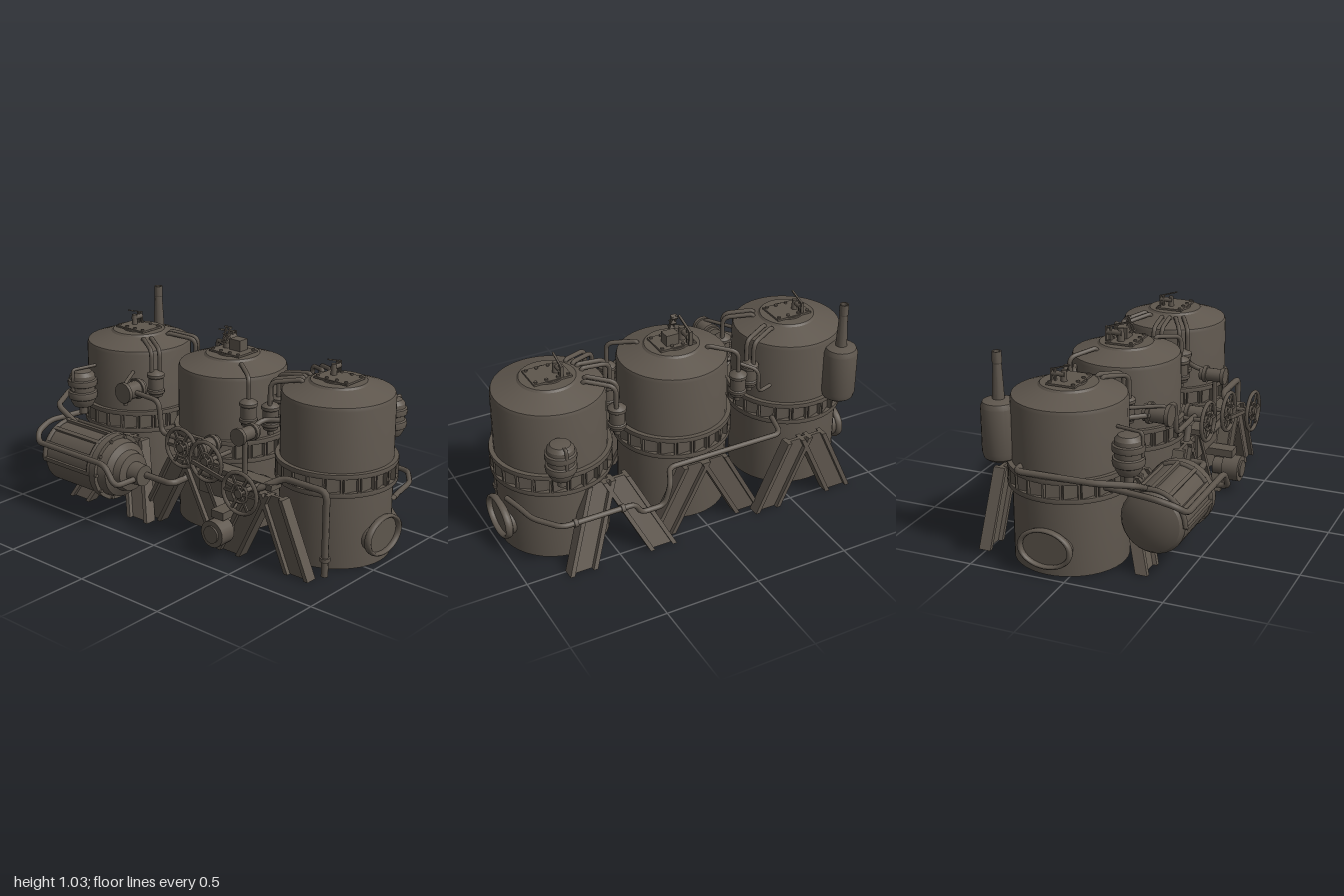
import * as THREE from 'three';
import { toCreasedNormals } from 'three/addons/utils/BufferGeometryUtils.js';

const iron = new THREE.MeshStandardMaterial({ color: 0x5e564d, side: THREE.DoubleSide });
iron.name = 'weathered iron';
const V = (a) => new THREE.Vector3(...a);
const CX = 0.109, R = 0.283;

export function createModel() {
  const root = new THREE.Group();
  root.name = 'boilerPlant';

  const add = (parent, name, geo, pos = [0, 0, 0], rot = [0, 0, 0], scale = [1, 1, 1]) => {
    const m = new THREE.Mesh(geo, iron);
    m.name = name;
    m.position.set(...pos);
    m.rotation.set(...rot);
    m.scale.set(...scale);
    parent.add(m);
    return m;
  };
  const group = (name, parent = root) => {
    const g = new THREE.Group();
    g.name = name;
    parent.add(g);
    return g;
  };
  const box = (p, n, size, pos, rot) => add(p, n, new THREE.BoxGeometry(...size), pos, rot);
  const cyl = (p, n, r0, r1, h, pos, rot, seg = 16) => add(p, n, new THREE.CylinderGeometry(r1, r0, h, seg), pos, rot);
  const lathe = (p, n, pts, pos, rot, seg = 24) => add(p, n,
    toCreasedNormals(new THREE.LatheGeometry(pts.map((q) => new THREE.Vector2(...q)), seg), 0.45), pos, rot);

  // Pipe through points with rounded elbows
  const pipe = (p, n, r, raw, bend = 0.04) => {
    const pts = raw.map(V), path = new THREE.CurvePath();
    let last = pts[0];
    for (let i = 1; i < pts.length; i++) {
      if (i === pts.length - 1) { path.add(new THREE.LineCurve3(last, pts[i])); break; }
      const a = pts[i - 1].clone().sub(pts[i]), b = pts[i + 1].clone().sub(pts[i]);
      const d = Math.min(bend, a.length() * 0.45, b.length() * 0.45);
      const s = pts[i].clone().addScaledVector(a.normalize(), d);
      const e = pts[i].clone().addScaledVector(b.normalize(), d);
      path.add(new THREE.LineCurve3(last, s));
      path.add(new THREE.QuadraticBezierCurve3(s, pts[i], e));
      last = e;
    }
    return add(p, n, new THREE.TubeGeometry(path, pts.length * 12, r, 8));
  };

  // Leaning I-beam cut level at foot and top: boxes sheared from foot to top
  const LEG_H = 0.375;
  const beam = (p, foot, top) => {
    const g = group('legBeam', p);
    const slant = (name, w, d, dz) => {
      const geo = new THREE.BoxGeometry(w, LEG_H, d).translate(0, LEG_H / 2, dz);
      const a = geo.attributes.position;
      for (let i = 0; i < a.count; i++) {
        const t = a.getY(i) / LEG_H;
        a.setX(i, a.getX(i) + foot[0] + (top[0] - foot[0]) * t);
        a.setZ(i, a.getZ(i) + foot[1] + (top[1] - foot[1]) * t);
      }
      geo.computeVertexNormals();
      add(g, name, geo);
    };
    slant('web', 0.018, 0.12, 0);
    for (const s of [-1, 1]) slant('flange', 0.062, 0.024, s * 0.062);
  };

  // Ribbed pressure vessel
  const ribbedVessel = (pos, s = 1) => lathe(root, 'ribbedVessel', [[0, 0], [0.022, 0], [0.022, 0.035], [0.05, 0.045],
    [0.064, 0.07], [0.066, 0.085], [0.075, 0.09], [0.078, 0.11], [0.075, 0.125], [0.066, 0.13], [0.066, 0.155],
    [0.077, 0.16], [0.079, 0.175], [0.077, 0.19], [0.068, 0.195], [0.066, 0.215], [0.05, 0.235], [0, 0.245]]
    .map((q) => q.map((v) => v * s)), pos);

  // Spoked hand wheel on an x axle
  const wheel = (pos, r) => {
    const g = group('handWheel');
    add(g, 'rim', new THREE.TorusGeometry(r, 0.011, 6, 24));
    add(g, 'innerRing', new THREE.TorusGeometry(r * 0.45, 0.007, 6, 20));
    cyl(g, 'hub', 0.022, 0.022, 0.03, [0, 0, 0], [Math.PI / 2, 0, 0]);
    for (let i = 0; i < 3; i++) box(g, 'spoke', [r * 2, 0.014, 0.01], [0, 0, 0], [0, 0, i * Math.PI / 3]);
    cyl(g, 'axle', 0.012, 0.012, 0.18, [0, 0, 0.09], [Math.PI / 2, 0, 0], 8);
    g.position.set(...pos);
    g.rotation.y = Math.PI / 2;
  };

  // Tanks with roof, hatch and collar
  const tank = (z, tall) => {
    const g = group('tank');
    g.position.set(CX, 0, z);
    lathe(g, 'shell', [[R, 0], [R, 0.81], [R - 0.006, 0.828], [0.15, 0.872], [0.14, 0.882], [0, 0.882]], [0, 0, 0], [0, 0, 0], 40);
    for (const y of [0.395, 0.49]) lathe(g, 'collarBand', [[R - 0.01, y - 0.012], [0.306, y - 0.012], [0.308, y], [0.306, y + 0.012], [R - 0.01, y + 0.012]], [0, 0, 0], [0, 0, 0], 40);
    for (let i = 0; i < 22; i++) {
      const a = i / 22 * Math.PI * 2, b = a + Math.PI / 22;
      box(g, 'collarRib', [0.01, 0.09, 0.03], [Math.sin(a) * 0.291, 0.443, Math.cos(a) * 0.291], [0, a, 0]);
      box(g, 'collarPanel', [0.066, 0.085, 0.012], [Math.sin(b) * 0.284, 0.443, Math.cos(b) * 0.284], [0, b + 0.35, 0]);
    }
    cyl(g, 'hatchDisc', 0.085, 0.085, 0.01, [0, 0.886, 0], [0, 0, 0], 24);
    box(g, 'hatchPlate', [0.15, 0.01, 0.2], [0, 0.89, 0]);
    for (const x of [-0.06, 0.06]) for (const dz of [-0.085, -0.03, 0.03, 0.085]) cyl(g, 'hatchBolt', 0.009, 0.009, 0.01, [x, 0.898, dz], [0, 0, 0], 6);
    // Roof valve gear
    const v = group('roofValve', g);
    cyl(v, 'valveBody', 0.02, 0.016, 0.07, [0.01, 0.035, -0.05]);
    cyl(v, 'valveBarrel', 0.016, 0.016, 0.08, [0.04, 0.045, -0.055], [0, 0, Math.PI / 2]);
    for (const x of [0.06, 0.085]) box(v, 'post', [0.01, 0.075, 0.02], [x, 0.037, -0.06]);
    box(v, 'lever', [0.13, 0.008, 0.012], [0.025, 0.088, -0.06], [0, 0, -0.3]);
    if (tall) {
      for (const dz of [-0.012, 0.012]) box(v, 'tiltedArm', [0.01, 0.09, 0.008], [-0.028, 0.085, dz - 0.02], [0, 0, -0.4]);
      for (const t of [-0.035, 0, 0.035]) box(v, 'armRung', [0.03, 0.008, 0.03], [-0.028 + t * 0.4, 0.085 + t, -0.02], [0, 0, -0.4]);
      box(v, 'valveBox', [0.06, 0.06, 0.07], [0.02, 0.03, 0.02]);
    }
    v.position.set(0, 0.893, 0);
    v.scale.setScalar(tall ? 1 : 0.8);
  };
  [0.68, 0.002, -0.675].forEach((z, i) => tank(z, i === 1));

  // Oval manholes on both end tanks
  for (const s of [1, -1]) {
    const g = group('manhole');
    g.position.set(CX, 0.143, 0);
    add(g, 'sleeve', new THREE.CylinderGeometry(1, 1, 0.36, 32), [0, 0, s * 0.787], [Math.PI / 2, 0, 0], [0.126, 1, 0.088]);
    add(g, 'rim', new THREE.TorusGeometry(1, 0.1, 8, 36), [0, 0, s * 0.975], [0, 0, 0], [0.131, 0.094, 0.2]);
  }

  // Leg pairs as [foot, top] in x and z, repeated by a half turn about the middle tank
  const legs = [
    [[0.415, 0.72], [0.26, 0.54]], [[0.415, 0.28], [0.26, 0.46]],
    [[0.345, 0.25], [0.34, 0.05]], [[0.345, -0.25], [0.34, -0.05]],
    [[0.4, -0.34], [0.395, -0.52]], [[0.4, -0.77], [0.395, -0.6]],
  ];
  const legGroup = group('legs');
  for (const s of [1, -1]) for (const [f, t] of legs) beam(legGroup, [CX + s * f[0], s * f[1]], [CX + s * t[0], s * t[1]]);

  // Chimney vessel
  lathe(root, 'chimneyVessel', [[0, 0.49], [0.06, 0.495], [0.08, 0.51], [0.088, 0.54], [0.088, 0.765], [0.078, 0.79], [0.045, 0.8],
    [0.03, 0.802], [0.0215, 0.975], [0.024, 0.98], [0.023, 1.035], [0.017, 1.035], [0.017, 0.99], [0, 0.99]], [0.413, 0, -0.815]);

  // Ribbed vessels with feed pipes
  ribbedVessel([0.445, 0.48, 0.77]);
  pipe(root, 'vesselPipe', 0.009, [[0.46, 0.7, 0.77], [0.515, 0.72, 0.77], [0.515, 0.6, 0.77], [0.45, 0.58, 0.77]], 0.02);
  ribbedVessel([-0.235, 0.46, -0.77], 1.02);
  pipe(root, 'vesselPipe', 0.009, [[-0.16, 0.72, -0.74], [-0.305, 0.72, -0.77], [-0.305, 0.6, -0.77]], 0.02);

  // Roof gooseneck pipes dropping to small canisters: tank z, canister x, canister z
  const necks = [[0.68, -0.05, 0.395], [0.68, 0.08, 0.375], [0.68, 0.3, 0.395], [0, 0.3, -0.27], [0, -0.07, 0.25],
    [-0.68, -0.06, -0.39], [-0.68, 0.24, -0.39]];
  for (const [tz, x, z] of necks) {
    const d = new THREE.Vector2(x - CX, z - tz).normalize();
    const at = (r, y, side = 0) => [CX + d.x * r - d.y * side, y, tz + d.y * r + d.x * side];
    for (const s of tz ? [-0.022, 0.022] : [0]) pipe(root, 'gooseneck', 0.012,
      [at(0.17, 0.845, s), at(0.18, 0.873, s), at(0.335, 0.85, s), at(0.335, 0.7, s)]);
    lathe(root, 'canister', [[0, 0.57], [0.015, 0.57], [0.016, 0.59], [0.036, 0.6], [0.04, 0.615], [0.047, 0.62], [0.047, 0.635],
      [0.04, 0.64], [0.04, 0.7], [0.047, 0.705], [0.047, 0.72], [0.036, 0.73], [0.016, 0.74], [0, 0.74]], at(0.335, 0), [0, 0, 0], 16);
  }

  // Long steam pipe along the left flank
  pipe(root, 'flankPipe', 0.014, [[0.2, 0.31, 0.965], [0.3, 0.31, 0.94], [0.41, 0.31, 0.92], [0.54, 0.31, 0.82], [0.54, 0.31, 0.43],
    [0.54, 0.25, 0.4], [0.54, 0.25, 0.27], [0.54, 0.37, 0.235], [0.45, 0.395, 0.2], [0.45, 0.395, -0.45], [0.33, 0.42, -0.47]]);
  for (const z of [0.75, 0.5]) cyl(root, 'pipeFlange', 0.021, 0.021, 0.02, [0.54, 0.31, z], [Math.PI / 2, 0, 0], 12);
  pipe(root, 'sidePipe', 0.01, [[0.33, 0.62, -0.45], [0.36, 0.62, -0.36], [0.36, 0.75, -0.36], [0.3, 0.78, -0.28]]);

  // Horizontal drum with flange, cone and a grille on its outer side
  const drum = group('drum');
  drum.position.set(-0.355, 0.28, 0);
  lathe(drum, 'drumBody', [[0, -0.825], [0.06, -0.82], [0.11, -0.81], [0.145, -0.795], [0.163, -0.77], [0.163, -0.43], [0.175, -0.43], [0.175, -0.39],
    [0.155, -0.39], [0.145, -0.34], [0.11, -0.32], [0.1, -0.28], [0.06, -0.27], [0.055, -0.2], [0, -0.2]], [0, 0, 0], [Math.PI / 2, 0, 0], 28);
  for (const z of [-0.775, -0.44]) add(drum, 'grilleArc', new THREE.TorusGeometry(0.166, 0.014, 6, 20, Math.PI * 2 / 3), [0, 0, z], [0, 0, Math.PI / 3]);
  for (let i = 0; i < 5; i++) {
    const a = Math.PI * (2 + i) / 6;
    box(drum, 'grilleBar', [0.022, 0.02, 0.34], [Math.cos(a) * 0.166, Math.sin(a) * 0.166, -0.605], [0, 0, a]);
  }
  for (let i = 0; i < 10; i++) {
    const a = i * Math.PI / 5;
    cyl(drum, 'flangeBolt', 0.01, 0.01, 0.06, [Math.cos(a) * 0.163, Math.sin(a) * 0.163, -0.41], [Math.PI / 2, 0, 0], 6);
  }
  pipe(root, 'drumPipe', 0.016, [[-0.32, 0.27, -0.22], [-0.54, 0.27, -0.23], [-0.54, 0.37, -0.3], [-0.54, 0.37, -0.8], [-0.5, 0.41, -0.84],
    [-0.4, 0.44, -0.86], [-0.13, 0.44, -0.82]]);
  pipe(root, 'rearPipe', 0.016, [[-0.32, 0.42, -0.72], [-0.32, 0.5, -0.88], [-0.15, 0.52, -0.97], [0.25, 0.52, -0.98], [0.25, 0.52, -0.9]]);
  pipe(root, 'linkPipe', 0.018, [[-0.34, 0.28, -0.22], [-0.34, 0.28, -0.02], [-0.22, 0.28, -0.02], [-0.22, 0.45, 0.05]]);

  // Pump machinery on the right flank
  const pump = group('pumpMachinery');
  box(pump, 'gearCase', [0.07, 0.16, 0.3], [-0.22, 0.33, 0.24]);
  box(pump, 'bedPlate', [0.08, 0.03, 0.5], [-0.24, 0.4, 0.33]);
  for (const [y, z, r] of [[0.67, -0.4, 0.045], [0.49, 0.12, 0.04], [0.62, 0.38, 0.035], [0.35, 0.45, 0.05]]) {
    cyl(pump, 'pumpBarrel', r, r, 0.14, [-0.23, y, z], [0, 0, Math.PI / 2]);
    for (const x of [-0.29, -0.19]) cyl(pump, 'barrelBand', r + 0.01, r + 0.01, 0.02, [x, y, z], [0, 0, Math.PI / 2]);
  }
  cyl(pump, 'motor', 0.07, 0.07, 0.09, [-0.375, 0.13, 0.32], [0, 0, Math.PI / 2], 20);
  cyl(pump, 'motorCap', 0.045, 0.045, 0.16, [-0.35, 0.13, 0.32], [0, 0, Math.PI / 2]);
  box(pump, 'motorBracket', [0.16, 0.04, 0.08], [-0.3, 0.22, 0.32]);
  wheel([-0.42, 0.4, 0.5], 0.105);
  wheel([-0.37, 0.48, 0.24], 0.1);
  wheel([-0.33, 0.49, 0.04], 0.1);
  box(pump, 'connectingRod', [0.015, 0.02, 0.34], [-0.4, 0.44, 0.34], [0.2, 0, 0]);
  pipe(pump, 'drainPipe', 0.018, [[-0.21, 0, 0.86], [-0.21, 0.44, 0.86], [-0.21, 0.44, 0.6], [-0.3, 0.38, 0.5], [-0.3, 0.38, 0.12]]);
  cyl(pump, 'drainFlange', 0.026, 0.026, 0.02, [-0.21, 0.09, 0.86], [0, 0, 0], 12);
  pipe(pump, 'pumpRiser', 0.014, [[-0.24, 0.35, 0.38], [-0.24, 0.62, 0.38], [-0.1, 0.66, 0.38], [-0.05, 0.66, 0.46]]);
  pipe(pump, 'pumpFeed', 0.014, [[-0.24, 0.49, 0.12], [-0.24, 0.49, -0.18], [-0.24, 0.66, -0.2], [-0.24, 0.67, -0.4], [-0.1, 0.67, -0.52]]);
  pipe(pump, 'upperPipe', 0.01, [[-0.28, 0.6, -0.4], [-0.28, 0.72, -0.4], [-0.12, 0.72, -0.5]]);
  return root;
}
